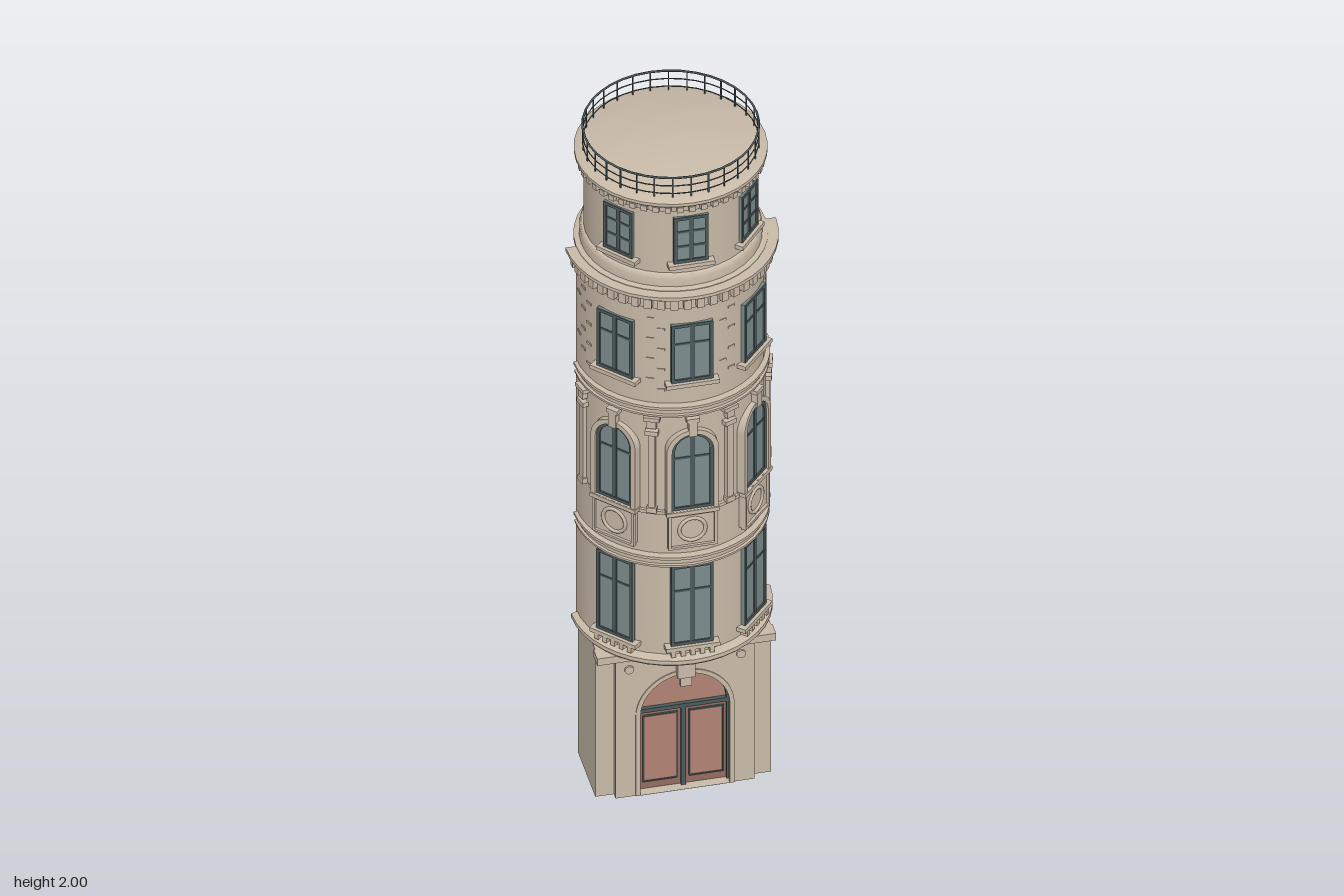
import * as THREE from 'three';
import { toCreasedNormals } from 'three/addons/utils/BufferGeometryUtils.js';

const CZ = -0.015;   // axis of the mouldings and the top storey
const SZ = -0.026;   // axis of the shaft, on its flat back
const R = 0.243;     // wall radius of the shaft
const SIDE = 0.83;   // angle of the side windows

export function createModel() {
  const mat = (name, color, side = THREE.FrontSide) => {
    const m = new THREE.MeshStandardMaterial({ color, side });
    m.name = name;
    return m;
  };
  const stone = mat('stone', 0xc8baa8, THREE.DoubleSide);
  const glass = mat('glass', 0x7c8b8d);
  const metal = mat('dark frame', 0x4c595b);
  const doorRed = mat('door red', 0xb28274);
  const doorDark = mat('door frame', 0x936c60);

  const tower = new THREE.Group();
  tower.name = 'tower';

  const add = (parent, name, geo, material, x = 0, y = 0, z = 0) => {
    const m = new THREE.Mesh(geo, material);
    m.name = name;
    m.position.set(x, y, z);
    parent.add(m);
    return m;
  };
  const box = (parent, name, w, h, d, material, x, y, z) =>
    add(parent, name, new THREE.BoxGeometry(w, h, d), material, x, y, z);

  // Group on the wall at an angle; local z = distance from the axis
  const onWall = (name, angle, y, cz = CZ) => {
    const g = new THREE.Group();
    g.name = name;
    g.position.set(0, y, cz);
    g.rotation.y = angle;
    tower.add(g);
    return g;
  };

  // Revolved profile, either full or the front half with closed ends
  const revolve = (name, profile, { half = true, cz = CZ } = {}) => {
    const pts = profile.map(([r, y]) => new THREE.Vector2(r, y));
    const geo = half ? new THREE.LatheGeometry(pts, 20, -Math.PI / 2, Math.PI)
      : new THREE.LatheGeometry(pts, 36);
    add(tower, name, toCreasedNormals(geo, 0.5), stone, 0, 0, cz);
    if (!half) return;
    for (const s of [-1, 1]) {
      const end = new THREE.Shape(pts.map(p => new THREE.Vector2(p.x * s, p.y)));
      add(tower, name + 'End', new THREE.ShapeGeometry(end).rotateY(Math.PI).scale(-1, 1, 1), stone, 0, 0, cz);
    }
  };

  // Opening outline from its bottom centre, with an optional round head
  const outline = (w, h, arched, y0 = 0, Kind = THREE.Shape) => {
    const s = new Kind();
    const a = w / 2, spring = arched ? h - a : h;
    s.moveTo(-a, y0);
    s.lineTo(a, y0);
    s.lineTo(a, spring);
    if (arched) s.absarc(0, spring, a, 0, Math.PI, false);
    else s.lineTo(-a, spring);
    s.lineTo(-a, y0);
    return s;
  };
  const extrude = (shape, depth) =>
    new THREE.ExtrudeGeometry(shape, { depth, bevelEnabled: false, curveSegments: 12 });
  const frameGeo = (w, h, t, depth, arched, open = false) => {
    const s = outline(w, h, arched);
    s.holes.push(outline(w - 2 * t, h - t, arched, open ? 0.0005 : t, THREE.Path));
    return extrude(s, depth);
  };

  // Window with dark frame, mullion, bars and a stone sill
  const makeWindow = (angle, y, w, h, { r = R, cz = SZ, arched = false, bars = [0.67] } = {}) => {
    const g = onWall('window', angle, y, cz);
    add(g, 'glass', extrude(outline(w, h, arched), 0.009), glass, 0, 0, r - 0.007);
    add(g, 'frame', frameGeo(w, h, 0.009, 0.018, arched), metal, 0, 0, r - 0.012);
    box(g, 'mullion', 0.011, h - 0.008, 0.008, metal, 0, h / 2, r + 0.001);
    for (const b of bars) box(g, 'glazingBar', w - 0.01, 0.006, 0.006, metal, 0, h * b, r + 0.001);
    box(g, 'sill', w + 0.03, 0.012, 0.034, stone, 0, -0.006, r - 0.002);
    return g;
  };

  // Hollow base with arched doorway
  const wallWithArch = (w, h) => {
    const s = outline(w, h, false);
    s.holes.push(outline(0.236, 0.37, true, 0.0005, THREE.Path));
    return s;
  };
  add(tower, 'baseFrontWall', extrude(wallWithArch(0.456, 0.45), 0.022), stone, 0, 0, 0.1);
  add(tower, 'portalSlab', extrude(wallWithArch(0.36, 0.45), 0.019), stone, 0, 0, 0.122);
  box(tower, 'baseBackWall', 0.456, 0.45, 0.018, stone, 0, 0.225, -0.059);
  for (const s of [-1, 1]) {
    box(tower, 'baseSideWall', 0.018, 0.45, 0.17, stone, s * 0.219, 0.225, 0.025);
    const roundel = add(tower, 'roundel', new THREE.CylinderGeometry(0.012, 0.012, 0.008, 16), stone, s * 0.145, 0.405, 0.142);
    roundel.rotation.x = Math.PI / 2;
  }
  box(tower, 'baseRoof', 0.456, 0.017, 0.19, stone, 0, 0.4585, 0.027);
  box(tower, 'baseCornice', 0.464, 0.022, 0.04, stone, 0, 0.456, 0.14);
  add(tower, 'doorArchTrim', frameGeo(0.256, 0.38, 0.012, 0.009, true, true), stone, 0, 0, 0.135);
  box(tower, 'doorKeystone', 0.046, 0.06, 0.02, stone, 0, 0.396, 0.15);
  box(tower, 'keystoneFoot', 0.03, 0.03, 0.016, stone, 0, 0.352, 0.148);

  // Door leaves, dark casing, transom and fanlight panel
  add(tower, 'tympanum', extrude(outline(0.24, 0.372, true), 0.008), doorRed, 0, 0, 0.106);
  add(tower, 'doorCasing', frameGeo(0.238, 0.371, 0.007, 0.014, true, true), metal, 0, 0, 0.111);
  box(tower, 'transom', 0.236, 0.012, 0.014, metal, 0, 0.252, 0.118);
  box(tower, 'doorMeetingPost', 0.012, 0.248, 0.014, metal, 0, 0.124, 0.118);
  for (const s of [-1, 1]) {
    box(tower, 'doorLeaf', 0.108, 0.242, 0.008, doorDark, s * 0.06, 0.123, 0.115);
    box(tower, 'doorPanel', 0.084, 0.204, 0.006, doorRed, s * 0.06, 0.13, 0.119);
    add(tower, 'doorPanelRim', frameGeo(0.09, 0.21, 0.004, 0.006, false), metal, s * 0.06, 0.025, 0.118);
  }

  // Half-round shaft, closed by its flat back
  revolve('shaft', [[0, 0.467], [R, 0.467], [R, 1.63], [0, 1.63]], { cz: SZ });

  // Horizontal mouldings of the shaft
  revolve('lowerLedge', [[0, 0.467], [0.252, 0.467], [0.258, 0.474], [0.258, 0.486], [0.246, 0.49], [0, 0.49]]);
  for (const [name, y] of [['secondFloorBand', 0.773], ['thirdFloorBand', 1.25]]) {
    revolve(name, [[0.2, y], [0.242, y], [0.25, y + 0.005], [0.25, y + 0.011], [0.243, y + 0.012],
      [0.243, y + 0.027], [0.252, y + 0.029], [0.252, y + 0.037], [0.2, y + 0.038]]);
  }
  revolve('panelBand', [[0.2, 0.938], [0.241, 0.938], [0.241, 0.948], [0.2, 0.948]]);
  revolve('mainCornice', [[0, 1.598], [0.247, 1.598], [0.247, 1.634], [0.264, 1.636],
    [0.273, 1.643], [0.273, 1.653], [0, 1.656]]);
  for (let i = 0; i < 24; i++) {
    const g = onWall('corniceBracket', (i + 0.5) / 24 * Math.PI - Math.PI / 2, 1.62);
    box(g, 'block', 0.02, 0.028, 0.03, stone, 0, 0, 0.247);
  }

  // Windows and ornaments of the three bays
  for (const side of [-1, 0, 1]) {
    const a = side * SIDE;
    const low = makeWindow(a, 0.522, 0.11, 0.252, { bars: [0.68] });
    for (let i = -2; i <= 2; i++) box(low, 'sillBlock', 0.012, 0.02, 0.026, stone, i * 0.025, -0.02, R);

    const arch = makeWindow(a, 0.952, 0.108, 0.24, { arched: true, bars: [0.68] });
    add(arch, 'outerArch', frameGeo(0.136, 0.254, 0.014, 0.03, true, true), stone, 0, 0, R - 0.018);
    box(arch, 'archKeystone', 0.022, 0.05, 0.03, stone, 0, 0.262, R + 0.002);
    box(arch, 'keystoneCap', 0.034, 0.012, 0.034, stone, 0, 0.288, R + 0.002);

    const panel = onWall('apronPanel', a, 0.888, SZ);
    box(panel, 'plate', 0.122, 0.106, 0.02, stone, 0, 0, R - 0.005);
    add(panel, 'plateRim', frameGeo(0.126, 0.11, 0.007, 0.012, false), stone, 0, -0.055, R);
    add(panel, 'ring', new THREE.TorusGeometry(0.034, 0.005, 8, 28), stone, 0, 0, R + 0.006);

    makeWindow(a, 1.358, 0.108, 0.182, { bars: [0.66] });
    makeWindow(side * 0.87, 1.728, 0.09, 0.144, { r: 0.22, cz: CZ, bars: [0.35, 0.67] });
  }

  // Slender pilasters between the arched windows
  for (const a of [-1.31, -SIDE / 2, SIDE / 2, 1.31]) {
    const p = onWall('pilaster', a, 0, SZ);
    box(p, 'shaft', 0.018, 0.26, 0.018, stone, 0, 1.075, R + 0.002);
    box(p, 'foot', 0.026, 0.016, 0.024, stone, 0, 0.953, R + 0.002);
    box(p, 'capital', 0.034, 0.014, 0.026, stone, 0, 1.198, R + 0.002);
    box(p, 'console', 0.024, 0.024, 0.024, stone, 0, 1.226, R + 0.002);
    box(p, 'consoleCap', 0.042, 0.012, 0.03, stone, 0, 1.243, R + 0.002);
  }

  // Scattered raised bricks on the upper floor
  for (let row = 0; row < 8; row++) {
    for (let i = 0; i < 13; i++) {
      const a = -1.45 + (i + (row % 2) * 0.5) * 0.225;
      const nearest = Math.min(Math.abs(a), Math.abs(a - SIDE), Math.abs(a + SIDE));
      if (nearest < 0.31 || (i * 7 + row * 3) % 4 === 0) continue;
      const g = onWall('raisedBrick', a, 1.33 + row * 0.032, SZ);
      box(g, 'brick', 0.02, 0.007, 0.004, stone, 0, 0, R - 0.0005);
    }
  }

  // Round top storey
  revolve('topDrum', [[0, 1.644], [0.246, 1.644], [0.246, 1.655], [0.232, 1.658], [0.231, 1.684], [0.227, 1.691],
    [0.221, 1.694], [0.221, 1.89], [0.226, 1.892], [0.228, 1.914], [0.24, 1.916], [0.245, 1.921],
    [0.245, 1.93], [0.235, 1.934], [0.228, 1.937], [0, 1.937]], { half: false });
  for (let i = 0; i < 48; i++) {
    const g = onWall('topDentil', i / 48 * Math.PI * 2, 1.905);
    box(g, 'block', 0.016, 0.016, 0.02, stone, 0, 0, 0.229);
  }

  // Roof railing
  for (const y of [1.948, 1.972, 1.997]) {
    const ring = add(tower, 'railRing', new THREE.TorusGeometry(0.223, y > 1.99 ? 0.003 : 0.0016, 6, 36), metal, 0, y, CZ);
    ring.rotation.x = Math.PI / 2;
  }
  for (let i = 0; i < 30; i++) {
    const g = onWall('railPost', i / 30 * Math.PI * 2, 1.967);
    box(g, 'post', 0.003, 0.062, 0.003, metal, 0, 0, 0.223);
  }
  return tower;
}
